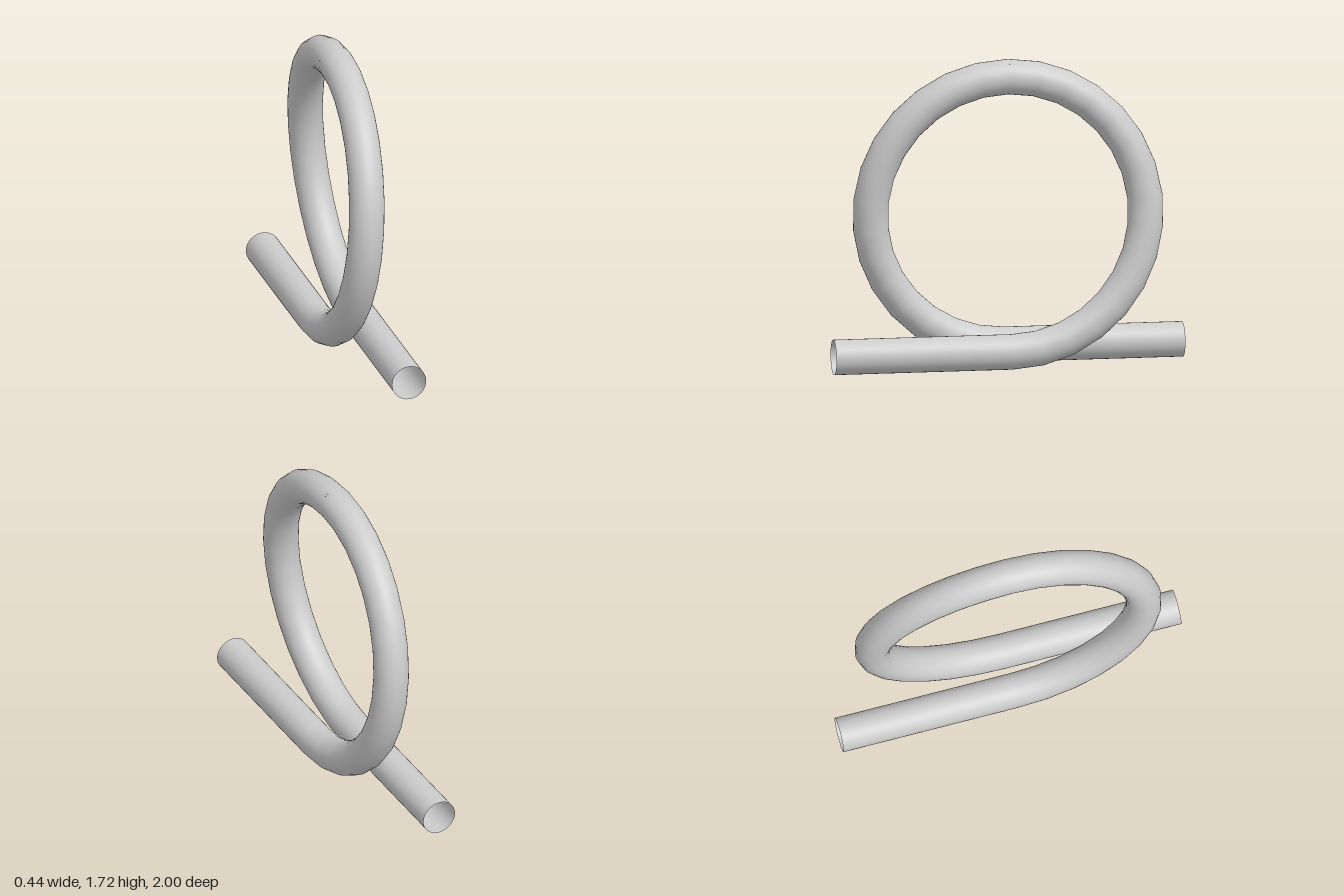
import * as THREE from 'three';

const TUBE = 0.098;   // pipe radius
const RING = 0.763;   // loop radius at the pipe's centre
const SHIFT = 0.12;   // sideways offset of each straight run
const SIDES = 32;

// Half loop leaning from the straight run at the bottom to the centre line at the top
class LeaningArc extends THREE.Curve {
  constructor(side) {
    super();
    this.side = side;
  }
  getPoint(t, target = new THREE.Vector3()) {
    const a = t * Math.PI;
    return target.set(
      this.side * SHIFT * (1 + Math.cos(a)) / 2,
      TUBE + RING * (1 - Math.cos(a)),
      -this.side * RING * Math.sin(a)
    );
  }
}

export function createModel() {
  const group = new THREE.Group();
  const material = new THREE.MeshStandardMaterial({ color: 0xcccccc, side: THREE.DoubleSide });

  const add = (name, geometry) => {
    const mesh = new THREE.Mesh(geometry, material);
    mesh.name = name;
    group.add(mesh);
    return mesh;
  };

  for (const [side, end] of [[1, 'front'], [-1, 'back']]) {
    // Open-ended straight pipe
    const pipe = new THREE.CylinderGeometry(TUBE, TUBE, 1, SIDES, 1, true).rotateX(Math.PI / 2);
    add(end + 'StraightPipe', pipe).position.set(side * SHIFT, TUBE, side * 0.5);

    // Half of the loop
    add(end + 'HalfLoop', new THREE.TubeGeometry(new LeaningArc(side), 15, TUBE, SIDES, false));
  }
  return group;
}
